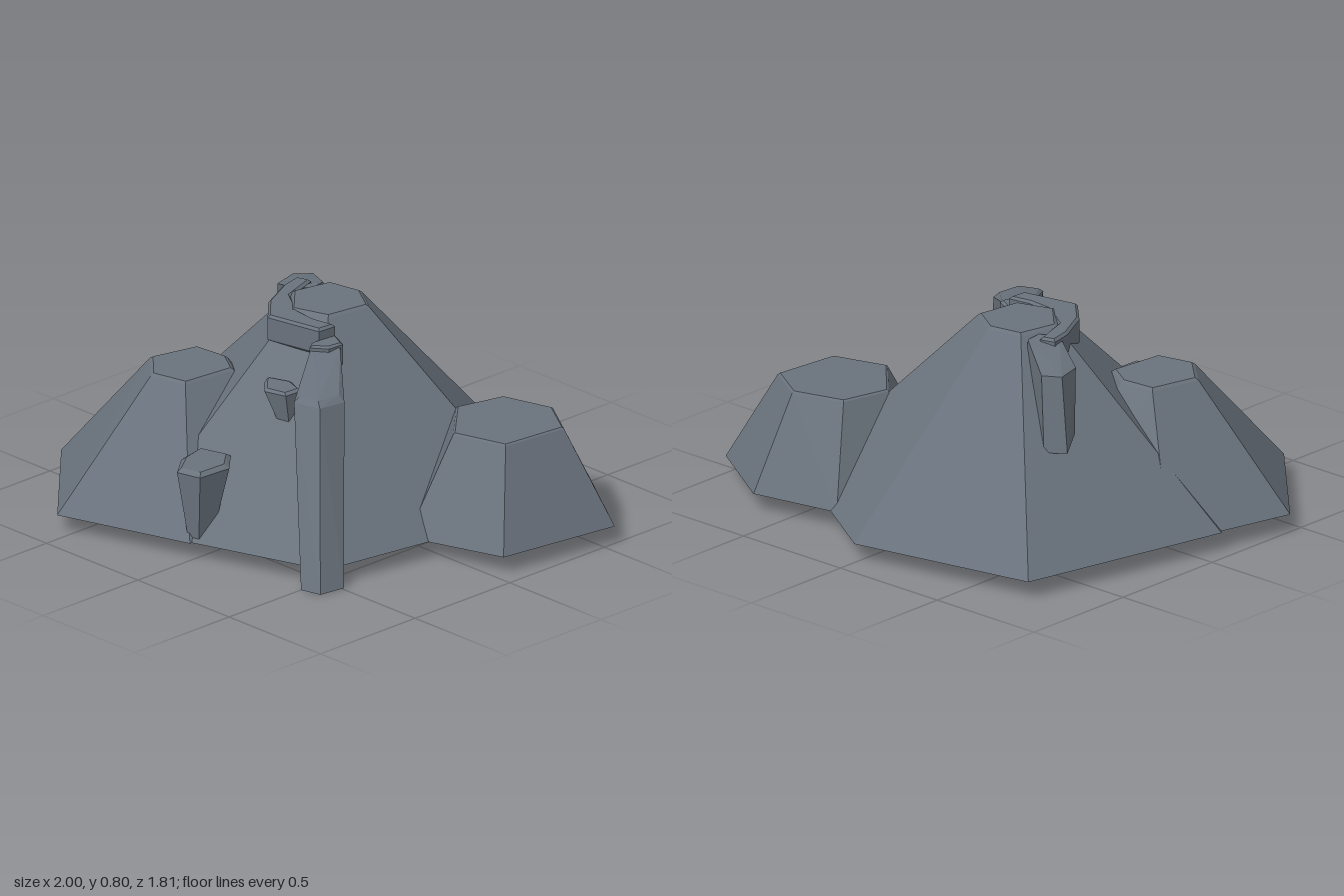
import * as THREE from 'three';
import { ConvexGeometry } from 'three/addons/geometries/ConvexGeometry.js';

export function createModel() {
  const group = new THREE.Group();
  const slate = new THREE.MeshStandardMaterial({ color: 0x69727c });
  slate.name = 'slate rock';

  const add = (name, geometry) => {
    const mesh = new THREE.Mesh(geometry, slate);
    mesh.name = name;
    group.add(mesh);
  };
  const hull = (name, points) =>
    add(name, new ConvexGeometry(points.map((p) => new THREE.Vector3(...p))));

  // Faceted rock between a base and a top outline of [x, z] corners, with a small chamfer
  const rock = (name, base, top, y0, y1, bevel = 0.01) => {
    const cx = top.reduce((s, p) => s + p[0], 0) / top.length;
    const cz = top.reduce((s, p) => s + p[1], 0) / top.length;
    const inset = ([x, z]) => {
      const k = 1 - (bevel * 1.5) / Math.hypot(x - cx, z - cz);
      return [cx + (x - cx) * k, y1, cz + (z - cz) * k];
    };
    hull(name, [
      ...base.map(([x, z]) => [x, y0, z]),
      ...top.map(([x, z]) => [x, y1 - bevel, z]),
      ...top.map(inset),
    ]);
  };
  // Outline scaled about its own middle and moved to a new centre
  const taper = (outline, k, x, z) => {
    const cx = outline.reduce((s, p) => s + p[0], 0) / outline.length;
    const cz = outline.reduce((s, p) => s + p[1], 0) / outline.length;
    return outline.map((p) => [x + (p[0] - cx) * k, z + (p[1] - cz) * k]);
  };

  // Main peak
  const peakBase = [[-0.75, -0.76], [0.01, -0.91], [0.7, -0.465], [0.545, 0.535], [-0.26, 0.8], [-0.94, 0.12]];
  rock('mainPeak', peakBase, taper(peakBase, 0.19, -0.116, -0.12), 0.07, 0.8);

  // Lower hills
  rock('frontHill',
    [[-0.87, -0.1], [-0.36, -0.22], [0.04, 0], [0, 0.725], [-0.55, 0.895], [-1, 0.44]],
    [[-0.56, 0.145], [-0.41, 0.13], [-0.3, 0.2], [-0.325, 0.435], [-0.48, 0.47], [-0.61, 0.35]],
    0.07, 0.55);
  rock('backHill',
    [[0.285, -0.71], [0.65, -0.78], [1, -0.555], [0.925, -0.04], [0.53, 0.09], [0.18, -0.3]],
    [[0.415, -0.53], [0.625, -0.59], [0.8, -0.48], [0.77, -0.2], [0.55, -0.135], [0.365, -0.33]],
    0.07, 0.44, 0.006);

  // Outcrops on the front slope
  const lowTop = [[-0.165, 0.51], [-0.04, 0.47], [0.045, 0.56], [0.035, 0.705], [-0.065, 0.73], [-0.145, 0.63]];
  rock('lowOutcrop', taper(lowTop, 0.48, -0.025, 0.645), lowTop, 0.085, 0.36, 0.015);
  const highTop = [[-0.08, 0.24], [0.015, 0.2], [0.1, 0.235], [0.095, 0.31], [0.005, 0.335], [-0.055, 0.28]];
  rock('highOutcrop', taper(highTop, 0.55, 0.045, 0.265), highTop, 0.47, 0.595);

  // Long buttress running down the front slope
  hull('buttress', [
    [0.07, 0.735, 0.15], [0.155, 0.735, 0.08], [0.08, 0.74, 0.1],
    [0.36, 0.665, 0.285], [0.35, 0.665, 0.385], [0.275, 0.665, 0.415],
    [0.385, 0.64, 0.28], [0.375, 0.645, 0.4], [0.27, 0.65, 0.435],
    [0.05, 0.6, 0.15], [0.07, 0.62, 0.07],
    [0.5, 0, 0.62], [0.585, 0, 0.6], [0.6, 0, 0.49], [0.53, 0, 0.49], [0.5, 0, 0.55],
  ]);
  const ledge = [[0.075, 0.025], [0.15, 0.06], [0.145, 0.13], [0.085, 0.175], [0.06, 0.14]];
  rock('buttressLedge', ledge, ledge, 0.66, 0.75, 0.008);

  // Spur hanging off the back of the summit
  hull('backSpur', [
    [-0.52, 0.72, -0.32], [-0.46, 0.725, -0.37], [-0.49, 0.72, -0.21],
    [-0.27, 0.785, -0.24], [-0.26, 0.785, -0.17], [-0.32, 0.785, -0.12],
    [-0.575, 0.43, -0.35], [-0.5, 0.43, -0.4], [-0.54, 0.48, -0.27],
    [-0.3, 0.6, -0.12], [-0.26, 0.6, -0.24],
  ]);

  // Crescent rim around the summit
  const rim = [[-0.365, -0.19], [-0.345, -0.1], [-0.27, 0.05], [-0.165, 0.155], [0.07, 0.11],
    [0.075, 0.03], [-0.02, 0.045], [-0.12, 0.035], [-0.25, -0.05], [-0.305, -0.21]];
  const shape = new THREE.Shape(rim.map(([x, z]) => new THREE.Vector2(x, -z)));
  const rimGeometry = new THREE.ExtrudeGeometry(shape, {
    depth: 0.09, bevelThickness: 0.01, bevelSize: 0.01, bevelOffset: -0.01, bevelSegments: 1,
  });
  rimGeometry.rotateX(-Math.PI / 2).translate(0, 0.695, 0);
  add('summitRim', rimGeometry);

  return group;
}
